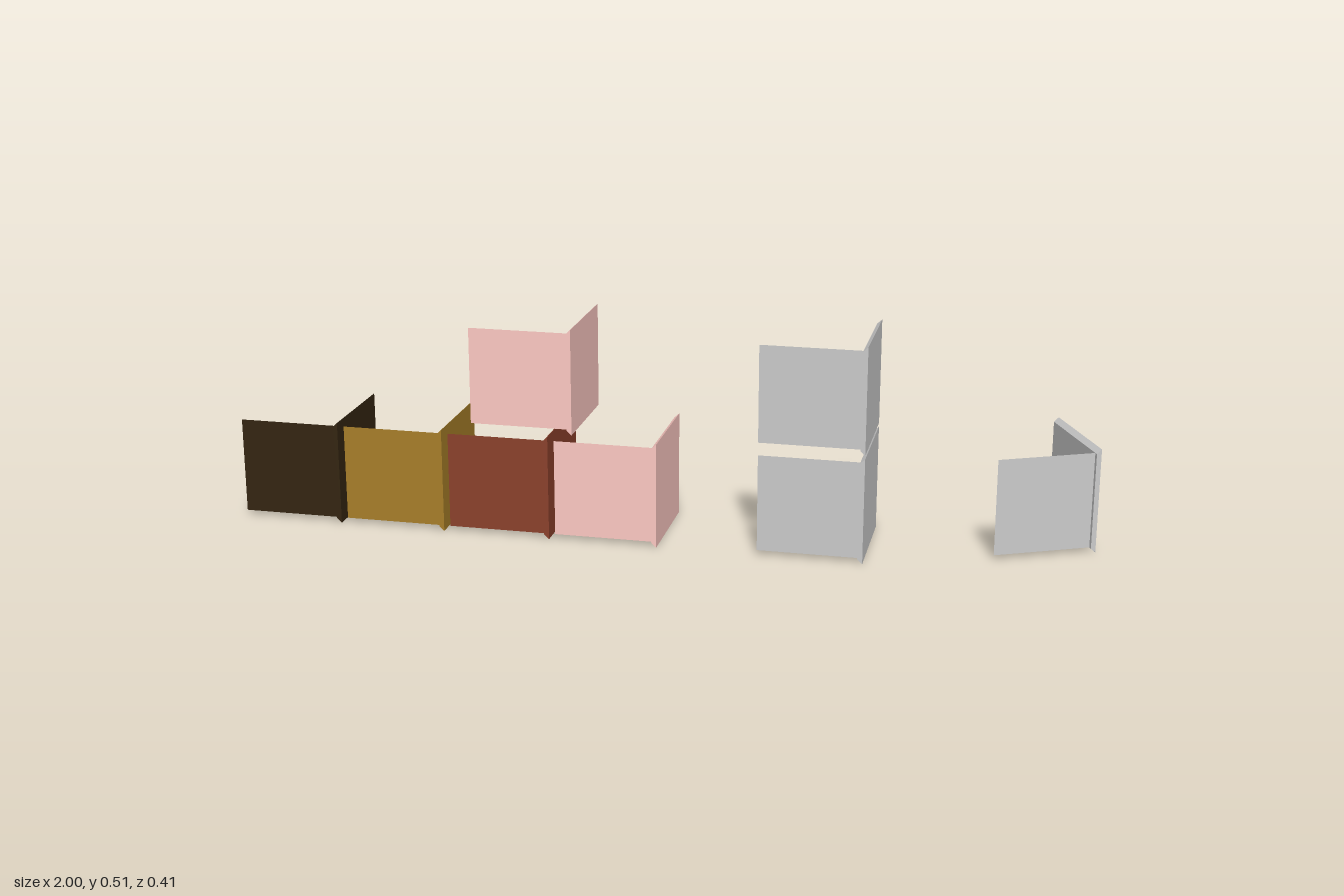
import * as THREE from 'three';

const H = 0.249;      // side panel height and depth
const T = 0.0115;     // side panel thickness
const INSET = 0.0105; // bevel along its top and bottom

// side panel: slab with top and bottom edges bevelled toward the inner face
function sideGeometry() {
  const shape = new THREE.Shape([
    new THREE.Vector2(0, 0),
    new THREE.Vector2(0, H),
    new THREE.Vector2(-T, H - INSET),
    new THREE.Vector2(-T, INSET),
  ]);
  const geo = new THREE.ExtrudeGeometry(shape, { depth: H, bevelEnabled: false });
  return geo.translate(0, 0, -H);
}

// front panel: thin sheet set slightly behind the side panel's front edge
function frontGeometry() {
  const w = 0.232;
  const geo = new THREE.PlaneGeometry(w, H - 2 * INSET);
  return geo.translate(-T - w / 2, H / 2, -0.009);
}

export function createModel() {
  const model = new THREE.Group();
  const side = sideGeometry();
  const front = frontGeometry();

  // each unit's origin is the outer front bottom corner
  const addUnit = (name, color, x, y, z = 0.207, turn = 0) => {
    const material = new THREE.MeshStandardMaterial({
      color, flatShading: true, side: THREE.DoubleSide,
    });
    const unit = new THREE.Group();
    unit.name = name;
    const sidePanel = new THREE.Mesh(side, material);
    sidePanel.name = 'sidePanel';
    const frontPanel = new THREE.Mesh(front, material);
    frontPanel.name = 'frontPanel';
    unit.add(sidePanel, frontPanel);
    unit.position.set(x, y, z);
    unit.rotation.y = turn;
    model.add(unit);
  };

  // coloured row, one unit stacked above it
  const row = [
    ['blackUnit', 0x342511],
    ['goldUnit', 0xa87f29],
    ['redUnit', 0x8c412c],
    ['pinkUnit', 0xffcac4],
  ];
  row.forEach(([name, color], i) => addUnit(name, color, -0.757 + i * 0.256, 0));
  addUnit('upperPinkUnit', 0xffcac4, -0.187, 0.258);

  // grey stack and the turned unit
  addUnit('lowerGreyUnit', 0xcccccc, 0.488, 0);
  addUnit('upperGreyUnit', 0xcccccc, 0.488, 0.258);
  addUnit('turnedGreyUnit', 0xcccccc, 1, 0, 0.019, THREE.MathUtils.degToRad(25));

  return model;
}
